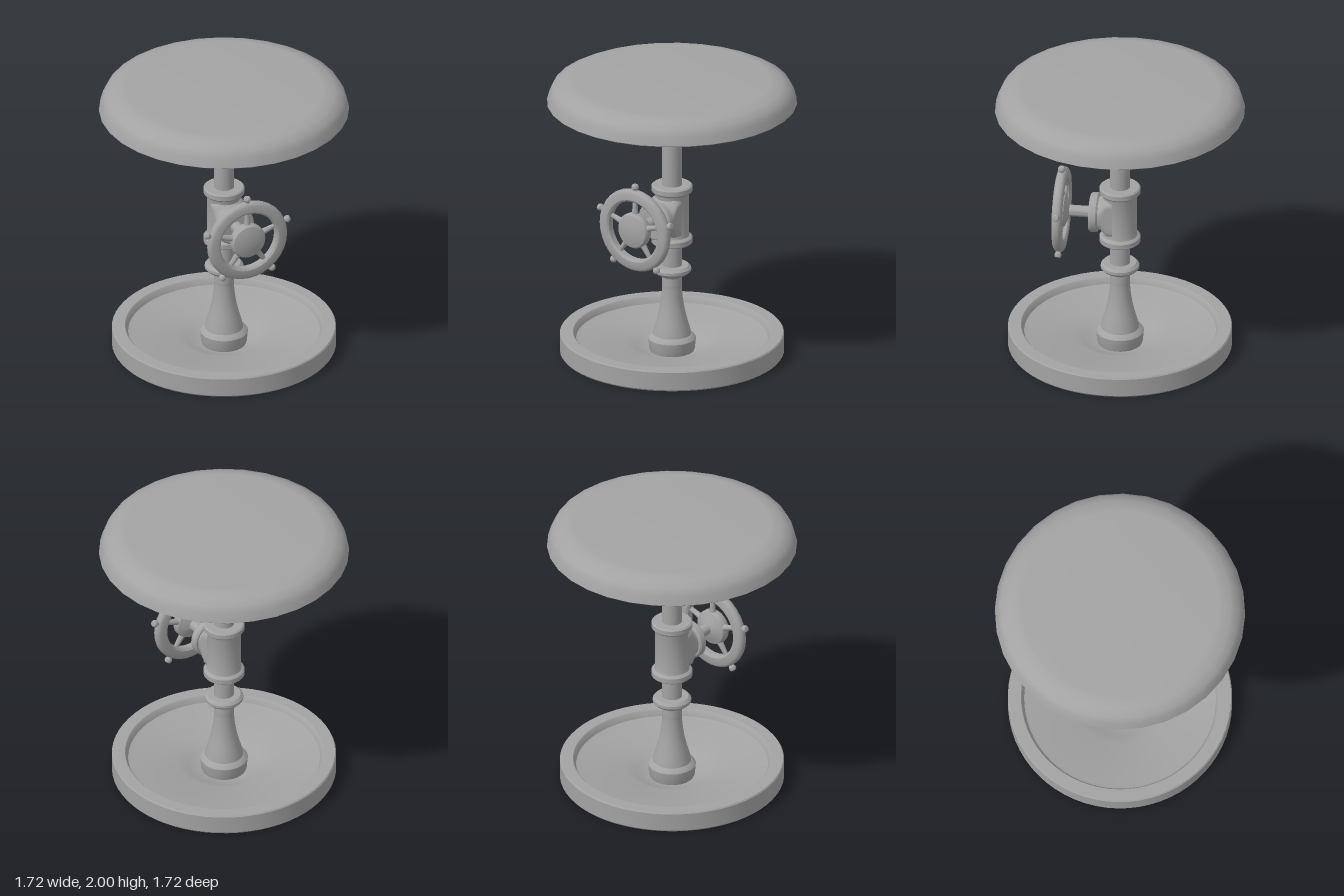
import * as THREE from 'three';
import { toCreasedNormals } from 'three/addons/utils/BufferGeometryUtils.js';

const WHEEL_Y = 1.017;

export function createModel() {
  const group = new THREE.Group();
  group.name = 'stool';
  const metal = new THREE.MeshStandardMaterial({ color: 0xa3a3a3 });
  metal.name = 'grey metal';

  // Revolved solid from [radius, height] pairs, listed anticlockwise
  const turned = (pts, sides = 32, crease = 0.6) =>
    toCreasedNormals(new THREE.LatheGeometry(pts.map(([r, y]) => new THREE.Vector2(r, y)), sides), crease);
  const add = (name, geometry, parent = group) => {
    const mesh = new THREE.Mesh(geometry, metal);
    mesh.name = name;
    parent.add(mesh);
    return mesh;
  };

  // Seat: rounded top edge, dished underside
  add('seat', turned([
    [0, 1.935], [0.27, 1.935], [0.5, 1.918], [0.66, 1.888], [0.78, 1.84], [0.79, 1.836], [0.853, 1.836],
    [0.862, 1.843], [0.845, 1.905], [0.82, 1.952], [0.765, 1.98], [0.705, 1.998], [0.68, 2], [0, 2],
  ], 32, 0.75));
  add('seatFlange', turned([
    [0, 1.885], [0.1, 1.888], [0.18, 1.897], [0.235, 1.91], [0.265, 1.927], [0.27, 1.945], [0, 1.945],
  ]));
  add('seatCollar', turned([
    [0, 1.813], [0.08, 1.813], [0.09, 1.825], [0.09, 1.9], [0, 1.9],
  ]));

  // Base: raised rim around a floor that dips towards the middle
  add('base', turned([
    [0, 0], [0.765, 0], [0.772, 0.01], [0.772, 0.137], [0.765, 0.146], [0.682, 0.146],
    [0.674, 0.138], [0.66, 0.1], [0.64, 0.093], [0.33, 0.082], [0.25, 0.045], [0.16, 0.014], [0, 0.014],
  ], 64));

  // Flared foot of the column and its collar
  add('pedestal', turned([
    [0, 0.008], [0.15, 0.008], [0.158, 0.03], [0.165, 0.105], [0.158, 0.116], [0.132, 0.135], [0.128, 0.16],
    [0.108, 0.23], [0.088, 0.31], [0.075, 0.39], [0.068, 0.47], [0.068, 0.55], [0.08, 0.57], [0, 0.57],
  ]));
  add('pedestalCollar', turned([
    [0.068, 0.56], [0.085, 0.568], [0.118, 0.585], [0.133, 0.602], [0.133, 0.622], [0.115, 0.641], [0.06, 0.641],
  ]));
  add('column', turned([[0, 0.5], [0.07, 0.5], [0.07, 1.83], [0, 1.83]]));

  // Pipe fitting with a ring at each end
  add('pipeFitting', turned([
    [0.06, 0.803], [0.132, 0.803], [0.142, 0.812], [0.142, 0.846], [0.134, 0.856], [0.122, 0.862],
    [0.118, 0.875], [0.118, 1.163], [0.122, 1.176], [0.134, 1.182], [0.142, 1.192], [0.142, 1.225],
    [0.132, 1.234], [0.06, 1.234],
  ]));

  // Everything turned about the forward axis
  const valve = new THREE.Group();
  valve.name = 'valve';
  valve.position.y = WHEEL_Y;
  group.add(valve);
  const forward = (pts, crease) => turned(pts, 32, crease).rotateX(Math.PI / 2);

  // Branch blends into the fitting, so its flare is kept within the pipe width
  const branch = new THREE.LatheGeometry(
    [[0.17, 0.04], [0.16, 0.085], [0.14, 0.108], [0.122, 0.125], [0.113, 0.16]]
      .map(([r, y]) => new THREE.Vector2(r, y)), 32).rotateX(Math.PI / 2);
  const p = branch.attributes.position;
  for (let i = 0; i < p.count; i++) p.setX(i, THREE.MathUtils.clamp(p.getX(i), -0.115, 0.115));
  branch.computeVertexNormals();
  add('branch', branch, valve);
  add('branchRing', forward([
    [0, 0.145], [0.128, 0.145], [0.138, 0.155], [0.138, 0.195], [0.128, 0.206], [0, 0.206],
  ]), valve);
  add('valveShaft', forward([[0, 0.19], [0.04, 0.19], [0.04, 0.38], [0, 0.38]]), valve);

  // Handwheel, set slightly off the centre line: rim and domed hub
  const wheel = new THREE.Group();
  wheel.name = 'handwheel';
  wheel.position.x = -0.007;
  valve.add(wheel);
  add('wheelRim', forward([
    [0.225, 0.373], [0.275, 0.373], [0.29, 0.382], [0.297, 0.395], [0.297, 0.415], [0.29, 0.43], [0.275, 0.44],
    [0.225, 0.44], [0.212, 0.43], [0.209, 0.406], [0.212, 0.383], [0.225, 0.373],
  ]), wheel);
  add('wheelHub', forward([
    [0, 0.345], [0.05, 0.35], [0.09, 0.37], [0.118, 0.38], [0.126, 0.395], [0.126, 0.43], [0.116, 0.445],
    [0.07, 0.458], [0, 0.463],
  ]), wheel);

  // Five spokes, each ending in a small grip outside the rim
  const spoke = turned([[0, 0.1], [0.028, 0.1], [0.021, 0.14], [0.015, 0.225], [0, 0.225]], 12);
  const grip = turned([
    [0, 0.28], [0.017, 0.28], [0.017, 0.298], [0.026, 0.312], [0.025, 0.325], [0.019, 0.335], [0, 0.337],
  ], 12);
  for (let i = 0; i < 5; i++) {
    const arm = new THREE.Group();
    arm.name = 'wheelArm';
    arm.position.z = 0.406;
    arm.rotation.z = i * Math.PI * 2 / 5;
    add('spoke', spoke, arm);
    add('grip', grip, arm);
    wheel.add(arm);
  }
  return group;
}
